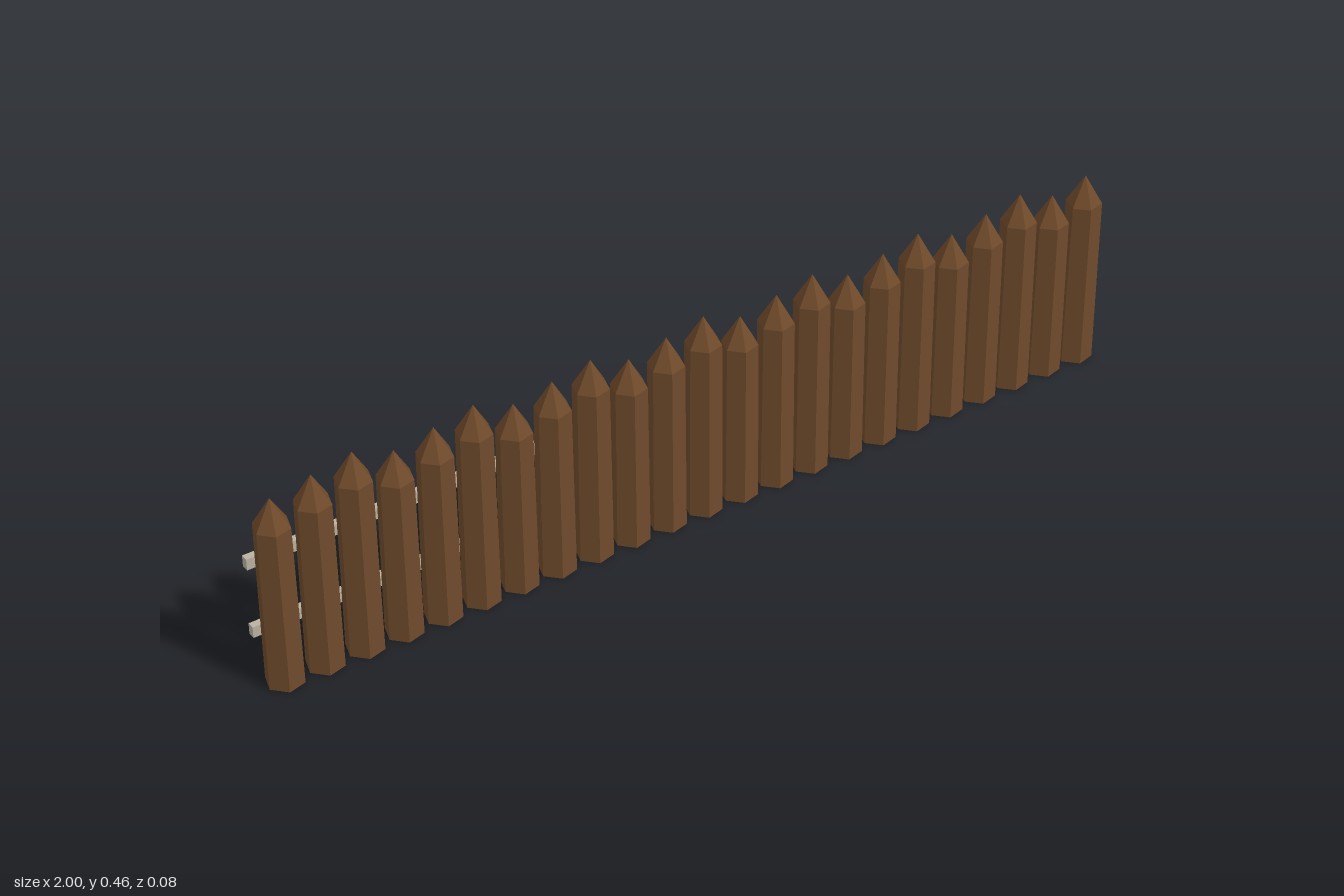
import * as THREE from 'three';

const wood = new THREE.MeshStandardMaterial({ color: 0x6f4a2b });
wood.name = 'brown wood';
const paleWood = new THREE.MeshStandardMaterial({ color: 0xb9b1a0 });
paleWood.name = 'pale rail';

const COUNT = 23, SPACING = 0.087, TWIST = THREE.MathUtils.degToRad(-16);

// Six-sided stake, slightly tapered, with a sharpened tip
function stakeGeometry(height) {
  const profile = [[0, 0], [0.04, 0], [0.0378, height - 0.063], [0, height]]
    .map(([r, y]) => new THREE.Vector2(r, y));
  const geometry = new THREE.LatheGeometry(profile, 6, TWIST).toNonIndexed();
  geometry.computeVertexNormals(); // flat facets
  return geometry;
}

export function createModel() {
  const fence = new THREE.Group();
  fence.name = 'palisadeFence';

  // Row of stakes in three repeating heights
  const stakes = [0.43, 0.447, 0.463].map(stakeGeometry);
  for (let i = 0; i < COUNT; i++) {
    const stake = new THREE.Mesh(stakes[i % 3], wood);
    stake.name = 'stake' + (i + 1);
    stake.position.set((i - (COUNT - 1) / 2) * SPACING, 0, 0.0035);
    fence.add(stake);
  }

  // Two rails along the back
  const railGeometry = new THREE.BoxGeometry(2, 0.025, 0.016);
  [['lowerRail', 0.113], ['upperRail', 0.274]].forEach(([name, y]) => {
    const rail = new THREE.Mesh(railGeometry, paleWood);
    rail.name = name;
    rail.position.set(0, y, -0.035);
    fence.add(rail);
  });
  return fence;
}
